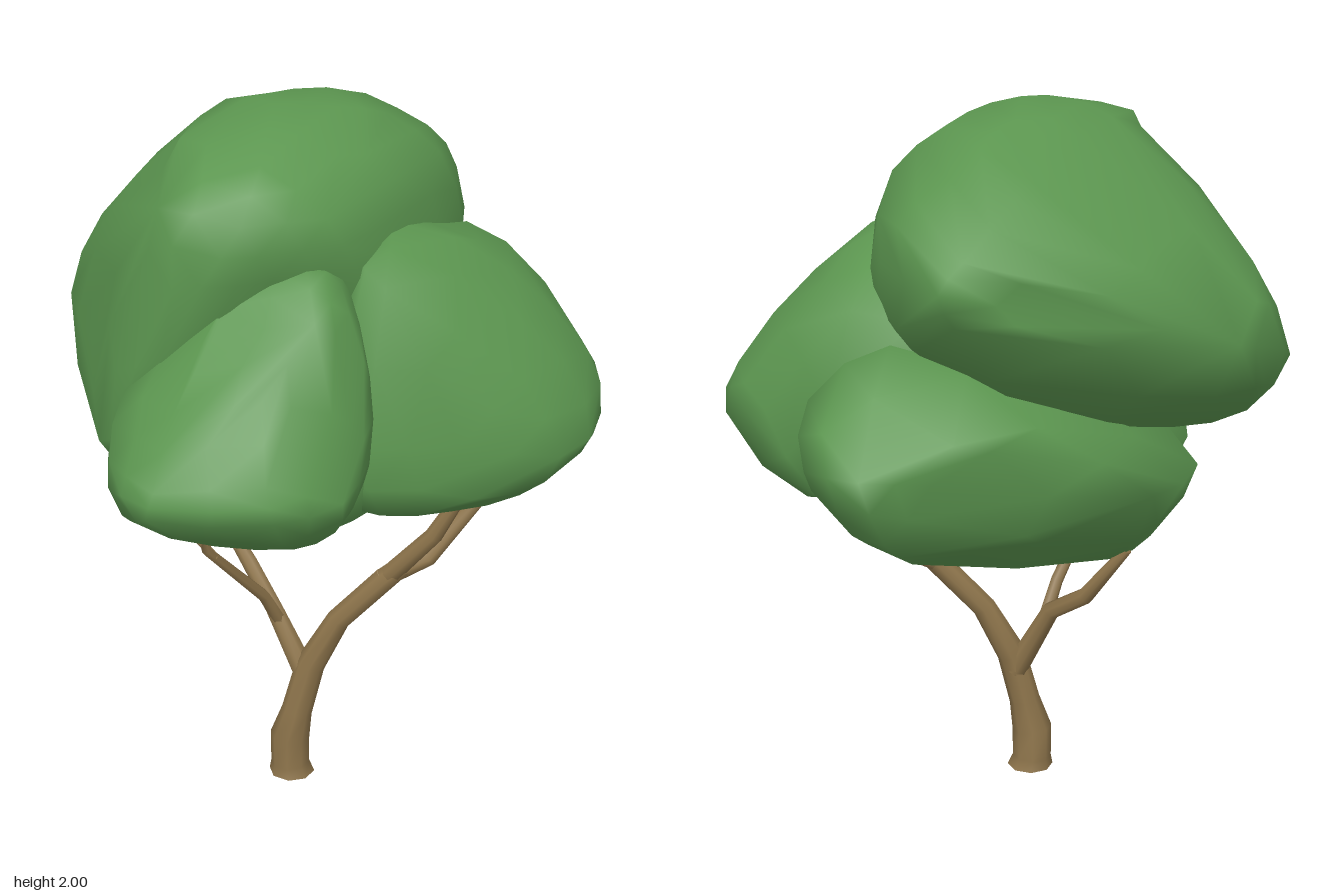
import * as THREE from 'three';
import { mergeVertices } from 'three/addons/utils/BufferGeometryUtils.js';
import { ConvexGeometry } from 'three/addons/geometries/ConvexGeometry.js';

const leafGreen = new THREE.MeshStandardMaterial({ color: 0x5c9650 });
leafGreen.name = 'leafGreen';
const barkBrown = new THREE.MeshStandardMaterial({ color: 0x8d744b, side: THREE.DoubleSide });
barkBrown.name = 'barkBrown';

// Split every triangle into four, pushing edge midpoints out along the corner normals
function puff(geometry, amount) {
  const pos = geometry.attributes.position;
  const nor = geometry.attributes.normal;
  const point = (i) => new THREE.Vector3().fromBufferAttribute(pos, i);
  const middle = (i, j) => {
    const m = point(i).add(point(j)).multiplyScalar(0.5);
    const shift = new THREE.Vector3();
    for (const k of [i, j]) {
      const n = new THREE.Vector3().fromBufferAttribute(nor, k);
      shift.addScaledVector(n, -0.5 * amount * m.clone().sub(point(k)).dot(n));
    }
    return m.add(shift);
  };
  const corners = [];
  for (let t = 0; t < geometry.index.count; t += 3) {
    const [a, b, c] = [0, 1, 2].map((k) => geometry.index.getX(t + k));
    const [ab, bc, ca] = [middle(a, b), middle(b, c), middle(c, a)];
    corners.push(point(a), ab, ca, ab, point(b), bc, ca, bc, point(c), ab, bc, ca);
  }
  const result = mergeVertices(new THREE.BufferGeometry().setFromPoints(corners), 1e-4);
  result.computeVertexNormals();
  return result;
}

// Smooth shaded clump of leaves wrapped around a few points
function clump(name, points) {
  const hull = new ConvexGeometry(points.map((p) => new THREE.Vector3(...p)));
  hull.deleteAttribute('normal');
  const geometry = mergeVertices(hull, 1e-4);
  geometry.computeVertexNormals();
  const mesh = new THREE.Mesh(puff(geometry, 0.5), leafGreen);
  mesh.name = name;
  return mesh;
}

// Tapered limb: rings of vertices around a path of [x, y, z, radius]
function limb(name, path, sides = 8) {
  const centres = path.map(([x, y, z]) => new THREE.Vector3(x, y, z));
  const positions = [];
  const index = [];
  path.forEach(([, , , radius], i) => {
    const before = centres[Math.max(i - 1, 0)];
    const after = centres[Math.min(i + 1, path.length - 1)];
    const along = after.clone().sub(before).normalize();
    if (i === 0 && centres[0].y === 0) along.set(0, 1, 0);
    const u = new THREE.Vector3(0, 0, 1).cross(along).normalize();
    const v = along.clone().cross(u);
    for (let k = 0; k < sides; k++) {
      const a = (k / sides) * Math.PI * 2;
      const p = centres[i].clone()
        .addScaledVector(u, Math.cos(a) * radius)
        .addScaledVector(v, Math.sin(a) * radius);
      positions.push(p.x, p.y, p.z);
      if (i > 0) {
        const next = (k + 1) % sides;
        const a0 = (i - 1) * sides + k, a1 = (i - 1) * sides + next;
        const b0 = i * sides + k, b1 = i * sides + next;
        index.push(a0, b1, a1, a0, b0, b1);
      }
    }
  });
  const geometry = new THREE.BufferGeometry();
  geometry.setAttribute('position', new THREE.Float32BufferAttribute(positions, 3));
  // u x v points along the limb, so rings run anticlockwise seen from the tip
  geometry.setIndex(index.reverse());
  geometry.computeVertexNormals();
  const mesh = new THREE.Mesh(geometry, barkBrown);
  mesh.name = name;
  return mesh;
}

export function createModel() {
  const tree = new THREE.Group();
  tree.name = 'tree';

  // Trunk leaning to the left, then forking
  tree.add(limb('trunk', [
    [-0.085, 0, 0.07, 0.066], [-0.09, 0.03, 0.07, 0.056], [-0.09, 0.12, 0.07, 0.057],
    [-0.068, 0.21, 0.075, 0.044], [-0.03, 0.36, 0.065, 0.042], [0.05, 0.51, 0.06, 0.034],
    [0.18, 0.65, 0.06, 0.034], [0.23, 0.7, 0.065, 0.03],
  ]));
  tree.add(limb('leftFrontBranch', [
    [0.18, 0.65, 0.06, 0.03], [0.32, 0.82, 0.1, 0.025], [0.43, 1.02, 0.11, 0.015],
  ]));
  tree.add(limb('leftBackBranch', [
    [0.17, 0.65, 0.06, 0.03], [0.3, 0.71, 0.03, 0.024], [0.43, 0.87, -0.05, 0.023],
    [0.45, 1.0, -0.06, 0.015],
  ]));
  tree.add(limb('rightBranch', [
    [-0.04, 0.31, 0.06, 0.035], [-0.14, 0.51, 0.025, 0.026], [-0.23, 0.6, -0.08, 0.024],
    [-0.34, 0.76, -0.13, 0.015],
  ]));
  tree.add(limb('rightFrontBranch', [
    [-0.12, 0.47, 0.03, 0.02], [-0.16, 0.58, 0.08, 0.018], [-0.29, 0.8, 0.24, 0.014],
    [-0.31, 1.03, 0.23, 0.008],
  ], 6));
  tree.add(limb('rightTwig', [
    [-0.27, 0.77, 0.22, 0.013], [-0.38, 0.92, 0.25, 0.011], [-0.46, 1.04, 0.26, 0.007],
  ], 6));

  // Crown of overlapping leaf clumps
  tree.add(clump('topFoliage', [
    [-0.13, 2, 0], [0.03, 1.99, -0.03], [-0.28, 1.97, -0.12], [0.15, 1.95, -0.12],
    [-0.08, 1.91, -0.4], [-0.12, 1.92, 0.28], [0.29, 1.84, -0.15], [-0.02, 1.85, -0.52],
    [-0.38, 1.9, 0.02], [-0.37, 1.83, 0.36], [-0.15, 1.8, 0.4], [0.05, 1.8, 0.3],
    [0.12, 1.73, -0.66], [0.18, 1.66, -0.7], [0.14, 1.57, -0.68], [0.32, 1.66, -0.4],
    [0.35, 1.6, -0.23], [0.24, 1.65, 0.05], [0.12, 1.65, 0.26], [-0.08, 1.65, 0.37],
    [-0.25, 1.65, 0.43], [-0.4, 1.6, 0.38], [-0.17, 1.58, -0.59], [-0.59, 1.45, -0.45],
    [-0.67, 1.42, -0.37], [-0.755, 1.35, -0.22], [-0.62, 1.35, 0.1], [-0.65, 1.6, -0.2],
    [-0.66, 1.16, -0.12], [-0.45, 1.15, -0.22], [-0.05, 1.26, -0.43], [-0.575, 1.12, 0.25],
    [-0.49, 1.08, 0.3], [-0.47, 1.22, 0.38], [0.2, 1.4, 0.1], [0.3, 1.4, -0.2],
  ]));
  tree.add(clump('leftFoliage', [
    [0.19, 1.72, 0.07], [0.1, 1.67, 0.2], [0.3, 1.66, -0.1], [0.5, 1.55, -0.05],
    [0.4, 1.53, -0.38], [0.2, 1.61, 0.28], [0.71, 1.31, -0.1], [0.755, 1.15, -0.05],
    [0.72, 1.2, -0.2], [0.71, 1.1, 0.1], [0.66, 1.13, 0.2], [0.55, 1.35, 0.2],
    [0.4, 1.2, 0.32], [0.15, 1.2, 0.38], [0.2, 1.0, 0.35], [0.38, 0.97, 0.24],
    [0.55, 0.96, 0.1], [0.55, 0.96, -0.1], [0.63, 1.25, -0.33], [0.5, 1.02, -0.35],
    [0.1, 1.45, -0.4], [0, 1.05, 0.3], [0, 1, -0.2],
  ]));
  tree.add(clump('backFoliage', [
    [0.51, 1.32, -0.46], [0.52, 1.17, -0.58], [0.38, 1.19, -0.72], [0.2, 1.17, -0.69],
    [0.32, 1, -0.66], [0.25, 0.91, -0.57], [0.46, 1.02, -0.4], [0.1, 0.87, -0.38],
    [-0.05, 0.79, -0.25], [-0.3, 0.72, -0.1], [-0.41, 0.78, -0.08], [-0.54, 0.98, -0.05],
    [-0.38, 1.03, -0.42], [-0.07, 1.28, -0.58], [0.3, 1.45, -0.42], [-0.45, 0.85, 0.03],
    [-0.2, 0.8, 0.02], [0, 0.83, -0.03], [0.24, 0.94, -0.1], [-0.3, 1.2, 0],
    [0.3, 1.2, -0.1],
  ]));
  tree.add(clump('frontFoliage', [
    [0, 1.68, 0.32], [0.09, 1.63, 0.32], [-0.18, 1.63, 0.33], [-0.22, 1.52, 0.43],
    [0.04, 1.57, 0.44], [0.13, 1.5, 0.38], [0.17, 1.4, 0.36], [0.18, 1.2, 0.43],
    [0.13, 1.14, 0.57], [-0.03, 1.13, 0.69], [-0.35, 1.13, 0.71], [-0.33, 1.2, 0.7],
    [-0.05, 1.22, 0.67], [-0.08, 1.4, 0.56], [-0.3, 1.36, 0.56], [-0.4, 1.1, 0.66],
    [-0.48, 1.2, 0.53], [-0.47, 1.33, 0.38], [-0.48, 1.04, 0.45], [-0.49, 1.1, 0.32],
    [0, 0.985, 0.54], [-0.2, 1.0, 0.58], [0.1, 1.02, 0.5], [0.12, 1.04, 0.25],
    [-0.35, 1.05, 0.25], [-0.2, 1.55, 0.15], [0.05, 1.62, 0.15],
  ]));
  tree.add(clump('lowerFoliage', [
    [-0.42, 0.87, 0.1], [-0.41, 0.9, 0.33], [-0.05, 0.91, 0.36], [0.13, 0.99, 0.37],
    [0.2, 1, 0.2], [0.1, 0.92, 0.02], [-0.2, 0.87, 0], [-0.53, 1, 0.12],
    [-0.48, 1.1, 0.35], [0.15, 1.2, 0.38], [-0.3, 1.3, 0.1], [0.2, 1.3, 0.1],
  ]));

  return tree;
}
